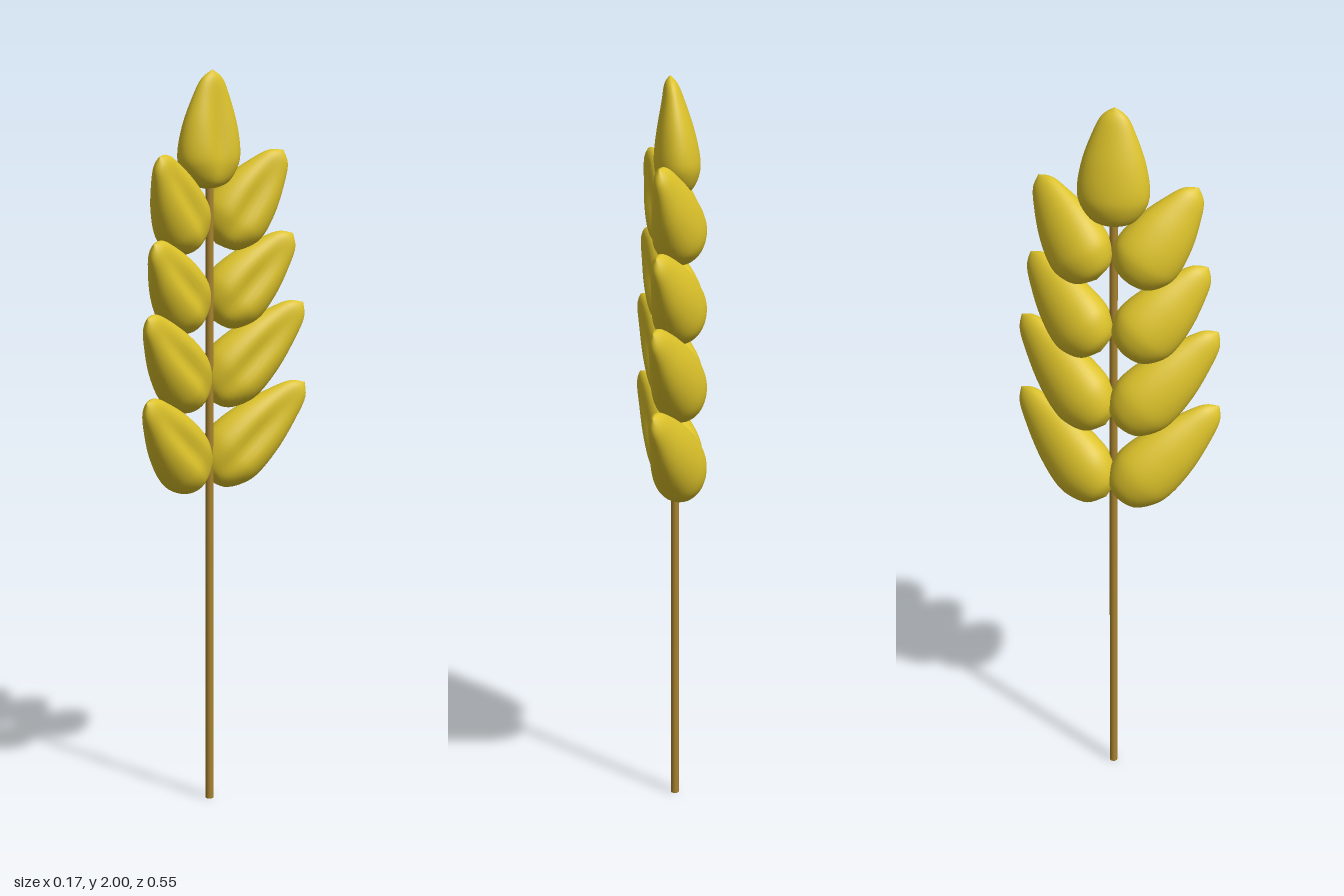
import * as THREE from 'three';
import { mergeVertices } from 'three/addons/utils/BufferGeometryUtils.js';

// Teardrop grain: rounded base, flattened toward a bent tip, grooved on its +x face
function grainGeometry() {
  const profile = new THREE.SplineCurve([
    [0, -0.095], [0.055, -0.078], [0.087, -0.035], [0.094, 0.01],
    [0.082, 0.08], [0.057, 0.15], [0.033, 0.197], [0, 0.22],
  ].map(([r, y]) => new THREE.Vector2(r, y))).getPoints(36);
  profile.forEach((p) => { p.x = Math.max(p.x, 0); });
  profile[0].x = profile[profile.length - 1].x = 0;

  let geo = new THREE.LatheGeometry(profile, 40);
  geo.deleteAttribute('uv');
  geo.deleteAttribute('normal');
  const pos = geo.attributes.position;
  for (let i = 0; i < pos.count; i++) {
    const y = pos.getY(i), z = pos.getZ(i);
    const t = (y + 0.095) / 0.315;
    let x = pos.getX(i) * (0.74 - 0.2 * t);
    if (x > 0) x *= 1 - 0.3 * Math.exp(-((z / 0.028) ** 2)) * Math.sin(Math.PI * Math.min(t, 1));
    x += 0.017 * t * t - 0.004;
    pos.setX(i, x);
  }
  geo = mergeVertices(geo, 1e-5);
  geo.computeVertexNormals();
  return geo;
}

export function createModel() {
  const model = new THREE.Group();
  model.name = 'cerealEar';
  const gold = new THREE.MeshStandardMaterial({ color: 0xdcc22a });
  const straw = new THREE.MeshStandardMaterial({ color: 0xa8822f });

  // Stem
  const stem = new THREE.Mesh(new THREE.CylinderGeometry(0.011, 0.011, 1.72, 16), straw);
  stem.position.y = 0.86;
  stem.name = 'stem';
  model.add(stem);

  // Grain at the tip
  const geo = grainGeometry();
  const top = new THREE.Mesh(geo, gold);
  top.position.y = 1.78;
  top.name = 'topGrain';
  model.add(top);

  // Paired grains: height, outward lean in degrees, length scale
  const rows = [
    [0.975, 48, 1.2],
    [1.195, 47, 1.18],
    [1.402, 45, 1.02],
    [1.612, 37, 0.98],
  ];
  const yaw = THREE.MathUtils.degToRad(19);
  rows.forEach(([y, lean, length], i) => {
    for (const side of [1, -1]) {
      const grain = new THREE.Mesh(geo, gold);
      grain.position.set(0, y, side * 0.092);
      grain.rotation.set(side * THREE.MathUtils.degToRad(lean), side * yaw, 0, 'YXZ');
      grain.scale.set(1.1, length, 1);
      grain.name = `${side > 0 ? 'front' : 'back'}Grain${i + 1}`;
      model.add(grain);
    }
  });
  return model;
}
